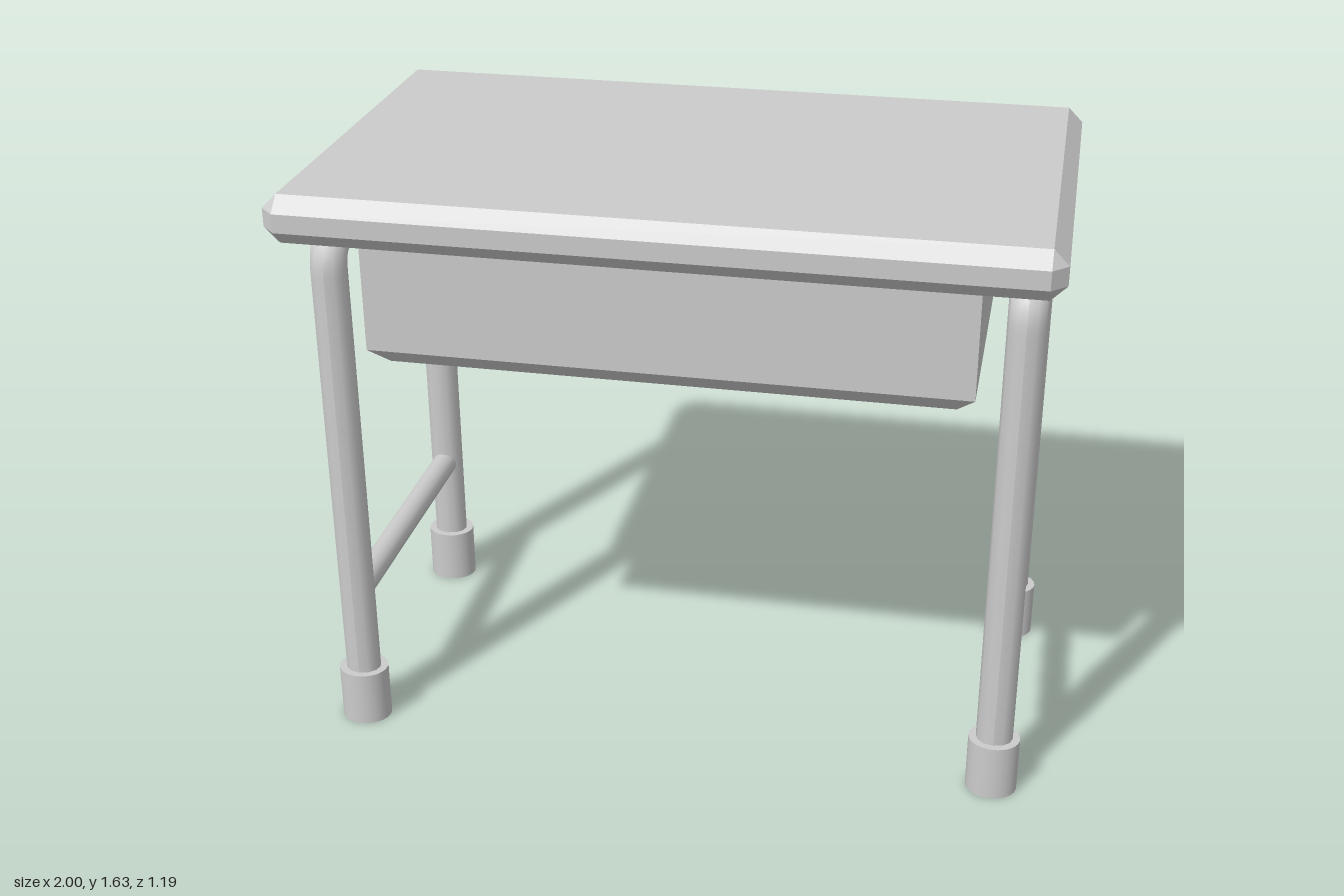
import * as THREE from 'three';
import { ConvexGeometry } from 'three/addons/geometries/ConvexGeometry.js';

const material = new THREE.MeshStandardMaterial({ color: 0xcccccc });

function add(parent, name, geometry, x = 0, y = 0, z = 0) {
  const mesh = new THREE.Mesh(geometry, material);
  mesh.name = name;
  mesh.position.set(x, y, z);
  parent.add(mesh);
  return mesh;
}

// Box with every edge chamfered by c
function chamferedBox(w, h, d, c) {
  const points = [];
  for (const sx of [-1, 1]) for (const sy of [-1, 1]) for (const sz of [-1, 1]) {
    const [x, y, z] = [w / 2, h / 2, d / 2];
    points.push(
      new THREE.Vector3(sx * x, sy * (y - c), sz * (z - c)),
      new THREE.Vector3(sx * (x - c), sy * y, sz * (z - c)),
      new THREE.Vector3(sx * (x - c), sy * (y - c), sz * z));
  }
  return new ConvexGeometry(points);
}

// Slab whose underside is inset on all four sides
function taperedSlab(w, h, d, inset) {
  const points = [];
  for (const sx of [-1, 1]) for (const sz of [-1, 1]) {
    points.push(
      new THREE.Vector3(sx * w / 2, h, sz * d / 2),
      new THREE.Vector3(sx * (w / 2 - inset), 0, sz * (d / 2 - inset)));
  }
  return new ConvexGeometry(points);
}

// Inverted U tube: two legs with rounded shoulders and a slimmer top rail
function legFrame(zFront, zBack, top, bend) {
  const path = new THREE.CurvePath();
  const v = (y, z) => new THREE.Vector3(0, y, z);
  path.add(new THREE.LineCurve3(v(0.05, zFront), v(top - bend, zFront)));
  path.add(new THREE.QuadraticBezierCurve3(v(top - bend, zFront), v(top, zFront), v(top, zFront - bend)));
  path.add(new THREE.LineCurve3(v(top, zFront - bend), v(top, zBack + bend)));
  path.add(new THREE.QuadraticBezierCurve3(v(top, zBack + bend), v(top, zBack), v(top - bend, zBack)));
  path.add(new THREE.LineCurve3(v(top - bend, zBack), v(0.05, zBack)));
  const geometry = new THREE.TubeGeometry(path, 160, 0.043, 12, false);
  const p = geometry.attributes.position;
  for (let i = 0; i < p.count; i++) {
    p.setX(i, p.getX(i) * 1.16);
    const onRail = p.getZ(i) < zFront - bend && p.getZ(i) > zBack + bend;
    if (onRail) p.setY(i, 1.5 - (1.5 - p.getY(i)) * 0.76);
  }
  geometry.computeVertexNormals();
  return geometry;
}

export function createModel() {
  const desk = new THREE.Group();
  desk.name = 'desk';

  // Tabletop
  add(desk, 'tabletop', chamferedBox(2, 0.13, 1.19, 0.04), 0, 1.565, 0);

  // Book tray, open at the back
  const tray = new THREE.Group();
  tray.name = 'bookTray';
  tray.position.set(0.01, 0, -0.007);
  desk.add(tray);
  const w = 1.58, d = 0.985, t = 0.022, low = 1.188, high = 1.5;
  const wallHeight = high - low, wallY = (high + low) / 2;
  add(tray, 'trayBottom', taperedSlab(w, low - 1.14, d, 0.047), 0, 1.14, 0);
  add(tray, 'trayFloor', new THREE.BoxGeometry(w - 2 * t, 0.015, d - t), 0, low + 0.0075, -t / 2);
  add(tray, 'trayFront', new THREE.BoxGeometry(w, wallHeight, t), 0, wallY, d / 2 - t / 2);
  add(tray, 'trayCeiling', new THREE.BoxGeometry(w - 2 * t, 0.015, d - t), 0, high - 0.0075, -t / 2);
  for (const side of [-1, 1]) {
    add(tray, side > 0 ? 'trayLeftWall' : 'trayRightWall',
      new THREE.BoxGeometry(t, wallHeight, d - t), side * (w / 2 - t / 2), wallY, -t / 2);
  }

  // Leg frames with crossbars and foot caps
  const zFront = 0.426, zBack = -0.4;
  for (const side of [-1, 1]) {
    const frame = new THREE.Group();
    frame.name = side > 0 ? 'leftLegFrame' : 'rightLegFrame';
    frame.position.x = 0.011 + side * 0.9;
    desk.add(frame);
    add(frame, 'legs', legFrame(zFront, zBack, 1.457, 0.075));
    const bar = new THREE.CylinderGeometry(0.037, 0.037, zFront - zBack - 0.05, 16).rotateX(Math.PI / 2);
    add(frame, 'crossbar', bar, 0, 0.405, (zFront + zBack) / 2);
    for (const z of [zFront, zBack]) {
      const foot = new THREE.CylinderGeometry(0.0625, 0.0625, 0.16, 32).scale(1.12, 1, 1);
      add(frame, 'footCap', foot, 0, 0.08, z);
    }
  }
  return desk;
}
